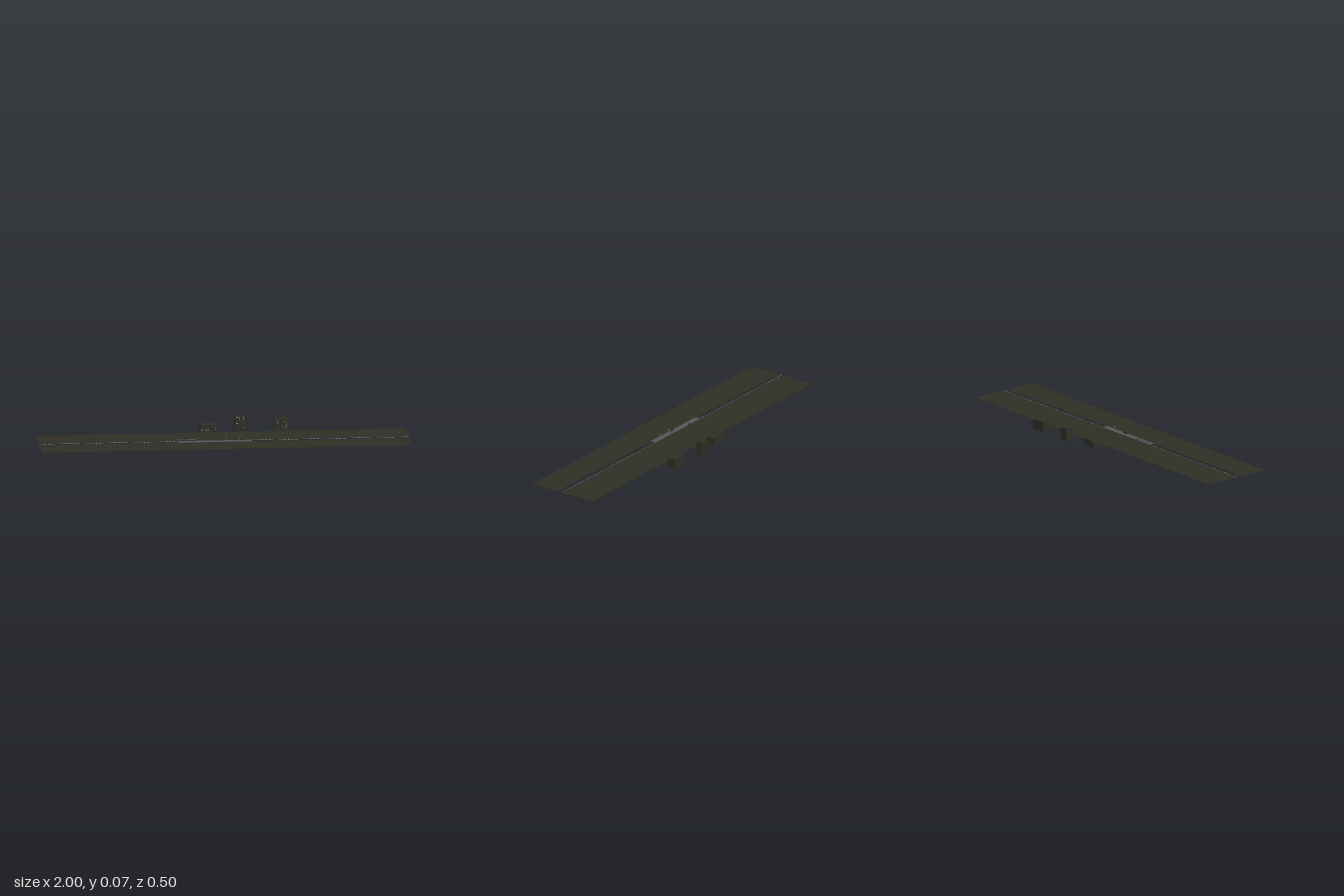
import * as THREE from 'three';

const mat = (name, color, side = THREE.FrontSide) => {
  const m = new THREE.MeshStandardMaterial({ color, side });
  m.name = name;
  return m;
};

export function createModel() {
  const root = new THREE.Group();
  root.name = 'roadsideDiorama';
  const ground = mat('dark olive', 0x2f2e24);
  const grey = mat('concrete grey', 0x55555a);
  const dark = mat('dark metal', 0x2b2b2e);
  const pale = mat('pale windows', 0xd8d8d0);

  // Box from its extents on each axis
  function box(name, material, x0, x1, y0, y1, z0, z1, parent = root) {
    const mesh = new THREE.Mesh(new THREE.BoxGeometry(x1 - x0, y1 - y0, z1 - z0), material);
    mesh.position.set((x0 + x1) / 2, (y0 + y1) / 2, (z0 + z1) / 2);
    mesh.name = name;
    parent.add(mesh);
    return mesh;
  }

  // Two long strips of ground with a gap between them
  box('rearGround', ground, -1, 1, 0, 0.0015, -0.15, 0.05);
  box('frontGround', ground, -1, 1, 0, 0.0015, 0.08, 0.25);

  // Platform bridging the gap
  box('platform', grey, -0.25, 0.15, 0, 0.003, 0.05, 0.082);

  // Slim edge rail with evenly spaced pale markers
  box('edgeRail', grey, -1, 1, 0.0005, 0.002, 0.05, 0.053);
  const count = 100;
  const markers = new THREE.InstancedMesh(new THREE.BoxGeometry(0.006, 0.0012, 0.001), pale, count);
  const matrix = new THREE.Matrix4();
  for (let i = 0; i < count; i++) {
    markers.setMatrixAt(i, matrix.makeTranslation(-0.99 + i * 0.02, 0.0014, 0.0533));
  }
  markers.name = 'edgeMarkers';
  root.add(markers);

  // Low canopy on thin posts
  const canopy = new THREE.Group();
  canopy.name = 'canopy';
  root.add(canopy);
  box('canopyRoof', grey, -0.25, -0.15, 0.0105, 0.012, 0.049, 0.058, canopy);
  for (let i = 0; i < 6; i++) {
    const x = -0.249 + i * 0.0194;
    box('canopyPost', dark, x, x + 0.001, 0.003, 0.0105, 0.053, 0.054, canopy);
  }

  // Benches and small cabinets
  box('bench', dark, -0.035, -0.01, 0.006, 0.0075, 0.066, 0.073);
  for (const x of [-0.034, -0.013]) box('benchLeg', dark, x, x + 0.002, 0.003, 0.006, 0.067, 0.072);
  box('benchBack', dark, -0.035, -0.01, 0.0075, 0.013, 0.066, 0.067);
  box('cabinet', dark, -0.156, -0.148, 0.0015, 0.012, 0.047, 0.053);

  // Lamp posts with short arms
  for (const [x, z, h] of [[0.012, 0.046, 0.021], [-0.005, 0.074, 0.017], [0.08, 0.074, 0.017]]) {
    const lamp = new THREE.Group();
    lamp.name = 'lampPost';
    root.add(lamp);
    box('post', grey, x - 0.0006, x + 0.0006, 0.0015, h, z - 0.0006, z + 0.0006, lamp);
    box('lampHead', pale, x - 0.001, x + 0.001, h - 0.001, h, z - 0.001, z + 0.005, lamp);
  }

  // Block buildings, with some windows lit on the front
  let seed = 7;
  const random = () => (seed = (seed * 16807) % 2147483647) / 2147483647;
  const buildings = [
    [-0.108, -0.02, 0.036, -0.22, -0.17],
    [0.085, 0.138, 0.069, -0.252, -0.215],
    [0.293, 0.377, 0.054, -0.247, -0.199],
  ];
  for (const [x0, x1, h, z0, z1] of buildings) {
    const building = new THREE.Group();
    building.name = 'building';
    root.add(building);
    box('walls', ground, x0, x1, 0, h, z0, z1, building);
    for (let y = 0.008; y < h - 0.006; y += 0.011) {
      for (let x = x0 + 0.007; x < x1 - 0.006; x += 0.012) {
        if (random() < 0.35) box('window', pale, x, x + 0.004, y, y + 0.004, z1, z1 + 0.0006, building);
      }
    }
  }
  return root;
}
